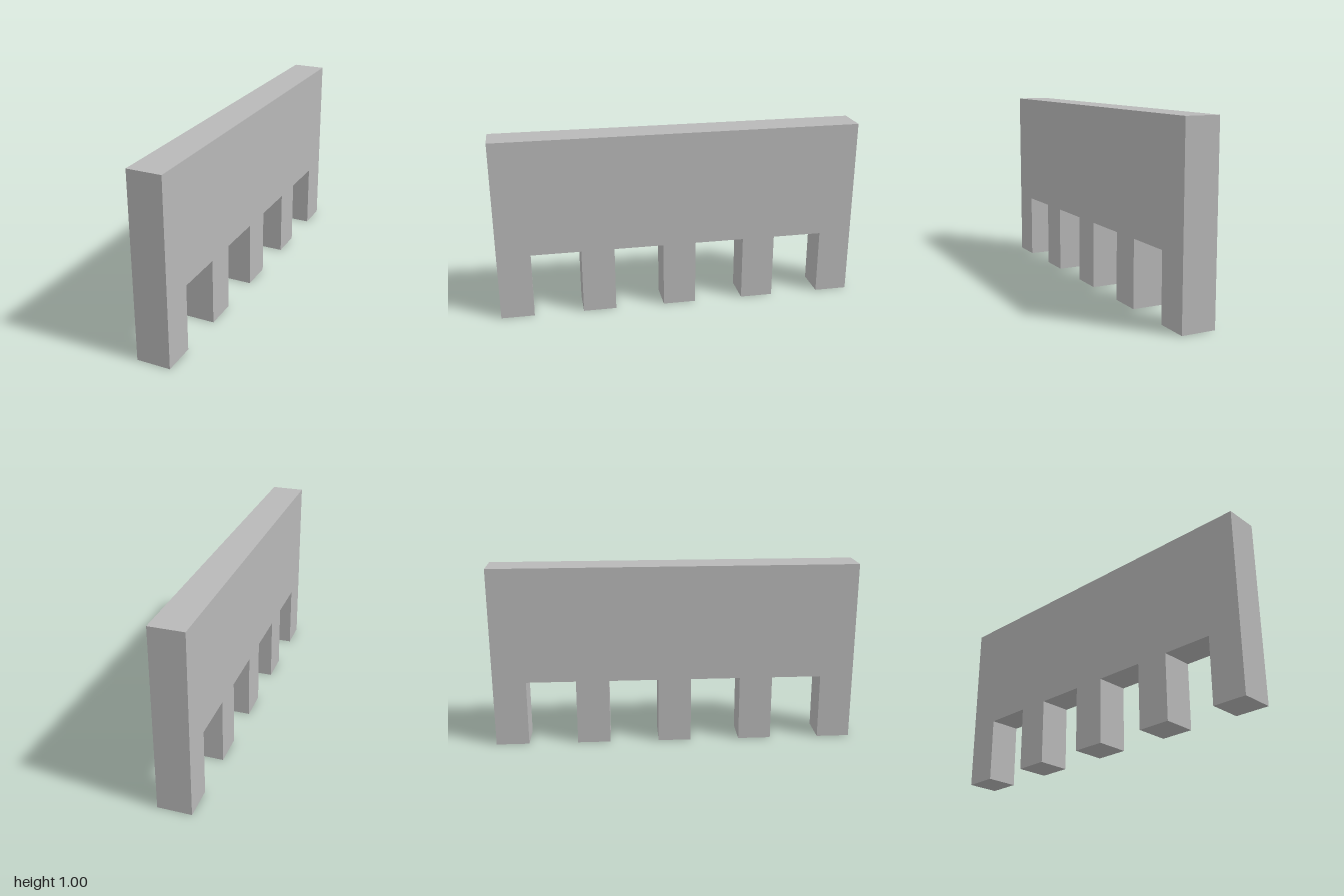
import * as THREE from 'three';

export function createModel() {
  const model = new THREE.Group();
  const grey = new THREE.MeshStandardMaterial({ color: 0xb8b8b8 });
  grey.name = 'plain grey';

  // Everything sits on a grid of 1/11 unit
  const u = 1 / 11;
  const legs = 5, legWidth = 2 * u, pitch = 5 * u, legHeight = 4 * u, thickness = 2 * u;

  // Side outline: plain wall above, a row of square legs below
  const outline = new THREE.Shape();
  outline.moveTo(-1, 1);
  for (let i = 0; i < legs; i++) {
    const start = -1 + i * pitch, end = start + legWidth;
    if (i > 0) outline.lineTo(start, legHeight);
    outline.lineTo(start, 0);
    outline.lineTo(end, 0);
    if (i < legs - 1) outline.lineTo(end, legHeight);
  }
  outline.lineTo(1, 1);
  outline.closePath();

  // Extrude across the thickness and turn the length along z
  const geometry = new THREE.ExtrudeGeometry(outline, { depth: thickness, bevelEnabled: false });
  geometry.translate(0, 0, -thickness / 2);
  geometry.rotateY(-Math.PI / 2);

  const wall = new THREE.Mesh(geometry, grey);
  wall.name = 'wallWithLegs';
  model.add(wall);
  return model;
}
